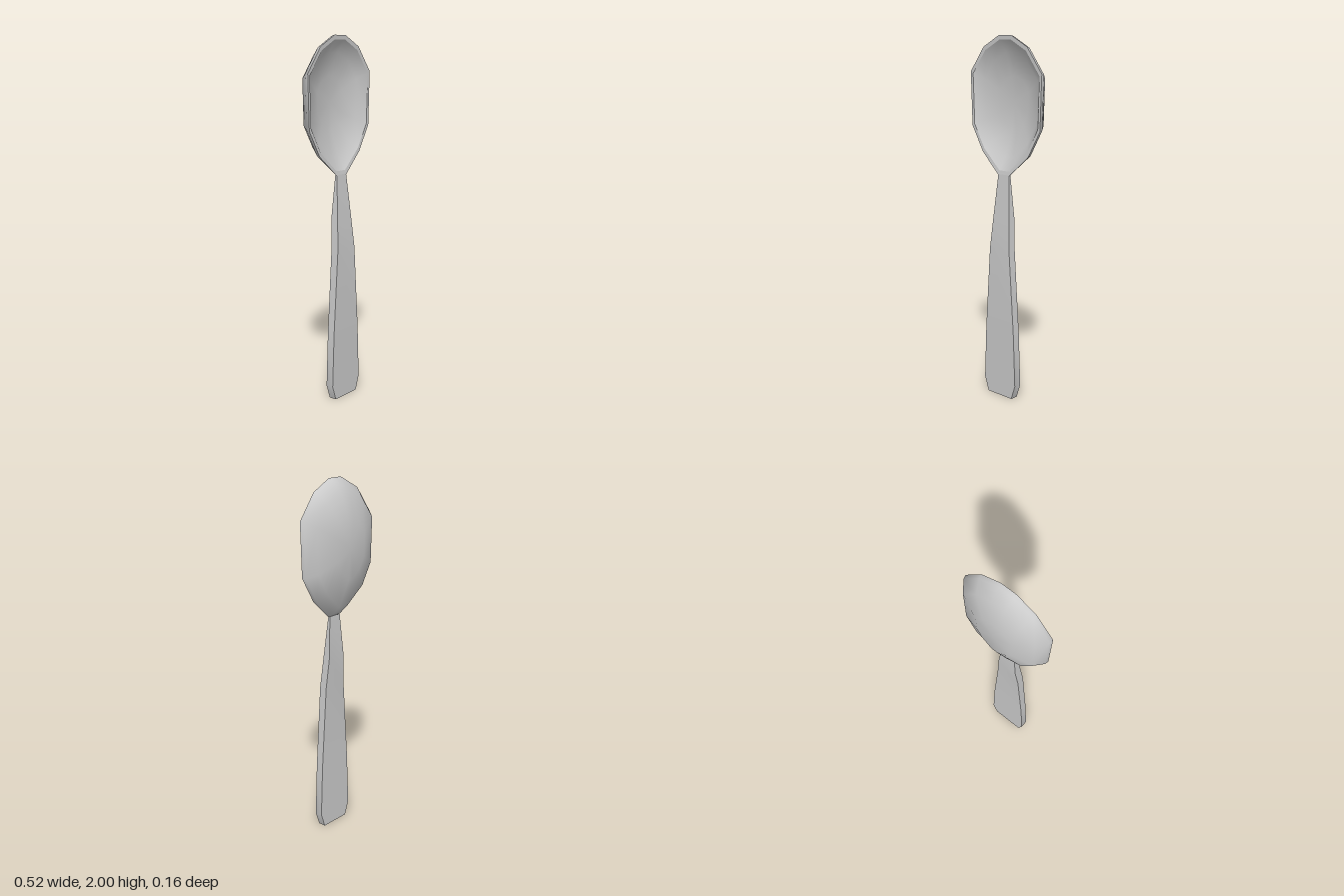
import * as THREE from 'three';
import { toCreasedNormals } from 'three/addons/utils/BufferGeometryUtils.js';

// Skin closed loops of [x, y, z] points; optionally close the last loop with a fan.
function loft(loops, flip, cap) {
  const n = loops[0].length;
  const points = loops.flat();
  const index = [];
  const tri = (a, b, c) => (flip ? index.push(a, c, b) : index.push(a, b, c));
  for (let i = 0; i < loops.length - 1; i++) {
    for (let j = 0; j < n; j++) {
      const k = (j + 1) % n;
      const a = i * n + j, b = i * n + k;
      tri(a, b, b + n);
      tri(a, b + n, a + n);
    }
  }
  if (cap) {
    const last = loops[loops.length - 1];
    const centre = [0, 1, 2].map((c) => last.reduce((s, p) => s + p[c], 0) / n);
    const start = (loops.length - 1) * n;
    for (let j = 0; j < n; j++) tri(points.length, start + j, start + ((j + 1) % n));
    points.push(centre);
  }
  const geometry = new THREE.BufferGeometry();
  geometry.setAttribute('position', new THREE.Float32BufferAttribute(points.flat(), 3));
  geometry.setIndex(index);
  geometry.computeVertexNormals();
  return geometry;
}

export function createModel() {
  const group = new THREE.Group();
  const material = new THREE.MeshStandardMaterial({ color: 0xcccccc });
  const add = (name, geometry) => {
    const mesh = new THREE.Mesh(geometry, material);
    mesh.name = name;
    group.add(mesh);
  };

  // Bowl outline, right half from neck to tip, mirrored to twelve corners
  const half = [[0.04, 1.255], [0.17, 1.37], [0.252, 1.51], [0.262, 1.805], [0.16, 1.94], [0.045, 2]];
  const outline = [...half, ...half.map(([x, y]) => [-x, y]).reverse()];
  const midY = 1.64;
  // A scaled copy of the outline; the neck corners may sit further forward
  const ring = (scale, z, neckZ = z) =>
    outline.map(([x, y]) => [x * scale, midY + (y - midY) * scale, y < 1.3 ? neckZ : z]);

  // Thick shell: the inside is shallower than the back
  const rimOuter = ring(1, 0.034, 0.045);
  const rimInner = ring(0.935, 0.033, 0.04);
  add('bowlBack', loft([rimOuter, ring(0.985, 0.013, 0.034), ring(0.83, -0.042, -0.028), ring(0.42, -0.08)], true, true));
  add('bowlRim', toCreasedNormals(loft([rimOuter, rimInner], false, false), 0.3));
  add('bowlInside', loft([rimInner, ring(0.75, -0.01, 0), ring(0.4, -0.038)], false, true));

  // Handle sections: height, half width, front z, back z; the thin neck runs into the bowl
  const sections = [
    [0, 0.09, 0.079, 0.035],
    [0.08, 0.118, 0.079, 0.035],
    [0.38, 0.106, 0.079, 0.035],
    [0.85, 0.073, 0.079, 0.034],
    [1.03, 0.058, 0.065, 0.022],
    [1.26, 0.04, 0.045, 0.034],
  ];
  const loops = sections.map(([y, w, front, back]) => [[w, y, front], [-w, y, front], [-w, y, back], [w, y, back]]);
  const foot = Array.from({ length: 4 }, () => [0, 0, 0.057]);
  add('handle', toCreasedNormals(loft([foot, ...loops], true, false), 0.6));

  return group;
}
